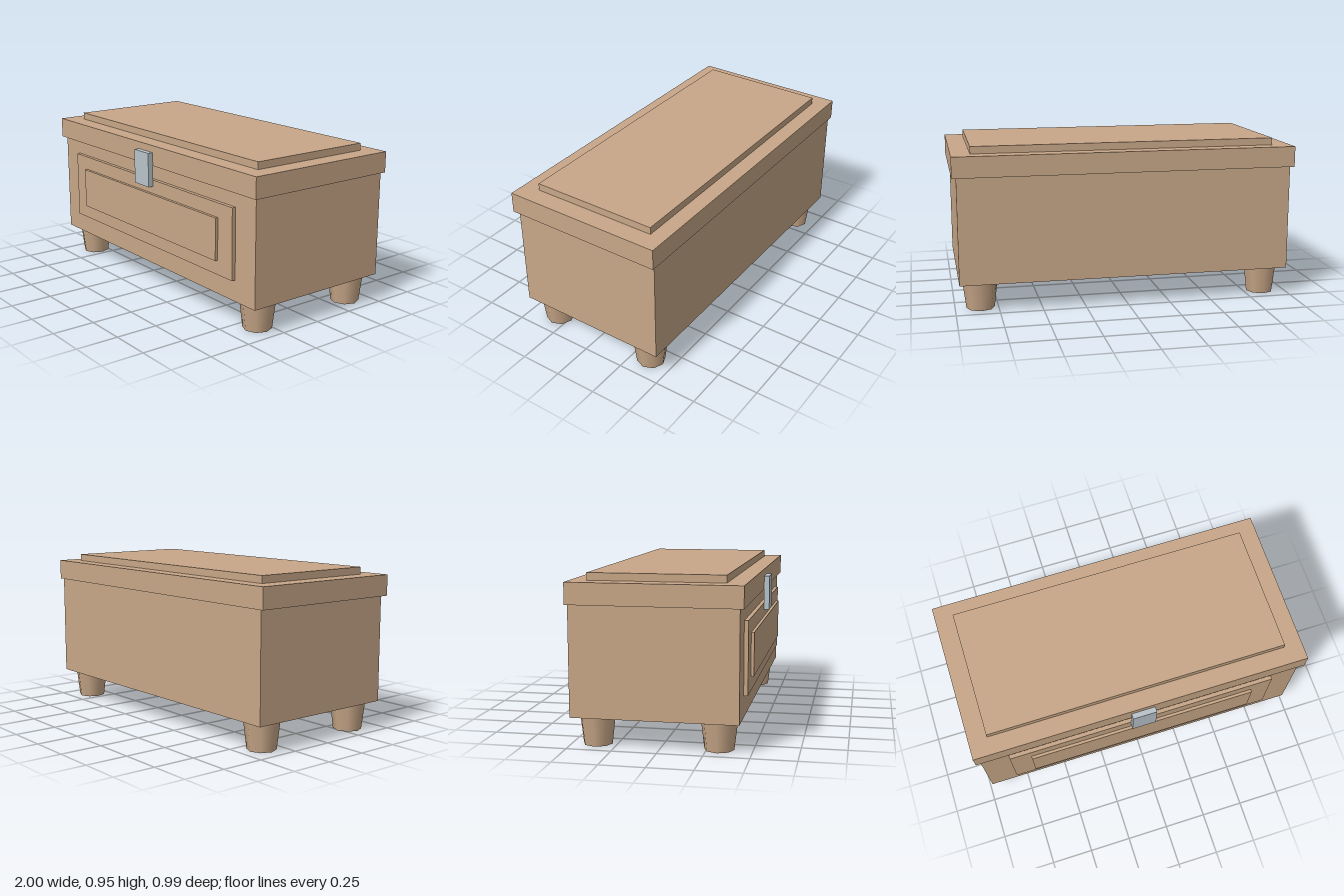
import * as THREE from 'three';

export function createModel() {
  const chest = new THREE.Group();
  chest.name = 'chest';

  const wood = new THREE.MeshStandardMaterial({ color: 0xc8a788 });
  wood.name = 'wood';
  const metal = new THREE.MeshStandardMaterial({ color: 0xb9c4ca });
  metal.name = 'metal';

  // Box centred on x, given by half width and its y and z ranges
  function block(name, halfWidth, [y0, y1], [z0, z1], material = wood) {
    const mesh = new THREE.Mesh(new THREE.BoxGeometry(halfWidth * 2, y1 - y0, z1 - z0), material);
    mesh.position.set(0, (y0 + y1) / 2, (z0 + z1) / 2);
    mesh.name = name;
    chest.add(mesh);
  }

  // Body and lid
  block('body', 0.976, [0.167, 0.784], [-0.485, 0.44]);
  block('lid', 1, [0.784, 0.905], [-0.495, 0.463]);
  block('lidPanel', 0.89, [0.905, 0.947], [-0.402, 0.358]);

  // Stepped front panel
  block('frontPanel', 0.81, [0.29, 0.699], [0.44, 0.463]);
  block('innerFrontPanel', 0.687, [0.373, 0.617], [0.463, 0.48]);

  // Clasp
  block('clasp', 0.072, [0.66, 0.863], [0.463, 0.495], metal);

  // Tapered feet
  const footGeometry = new THREE.CylinderGeometry(0.102, 0.082, 0.167, 8);
  for (const [end, z] of [['front', 0.316], ['back', -0.361]]) {
    for (const [side, x] of [['Left', 0.853], ['Right', -0.853]]) {
      const foot = new THREE.Mesh(footGeometry, wood);
      foot.position.set(x, 0.0835, z);
      foot.name = `${end}${side}Foot`;
      chest.add(foot);
    }
  }

  return chest;
}
